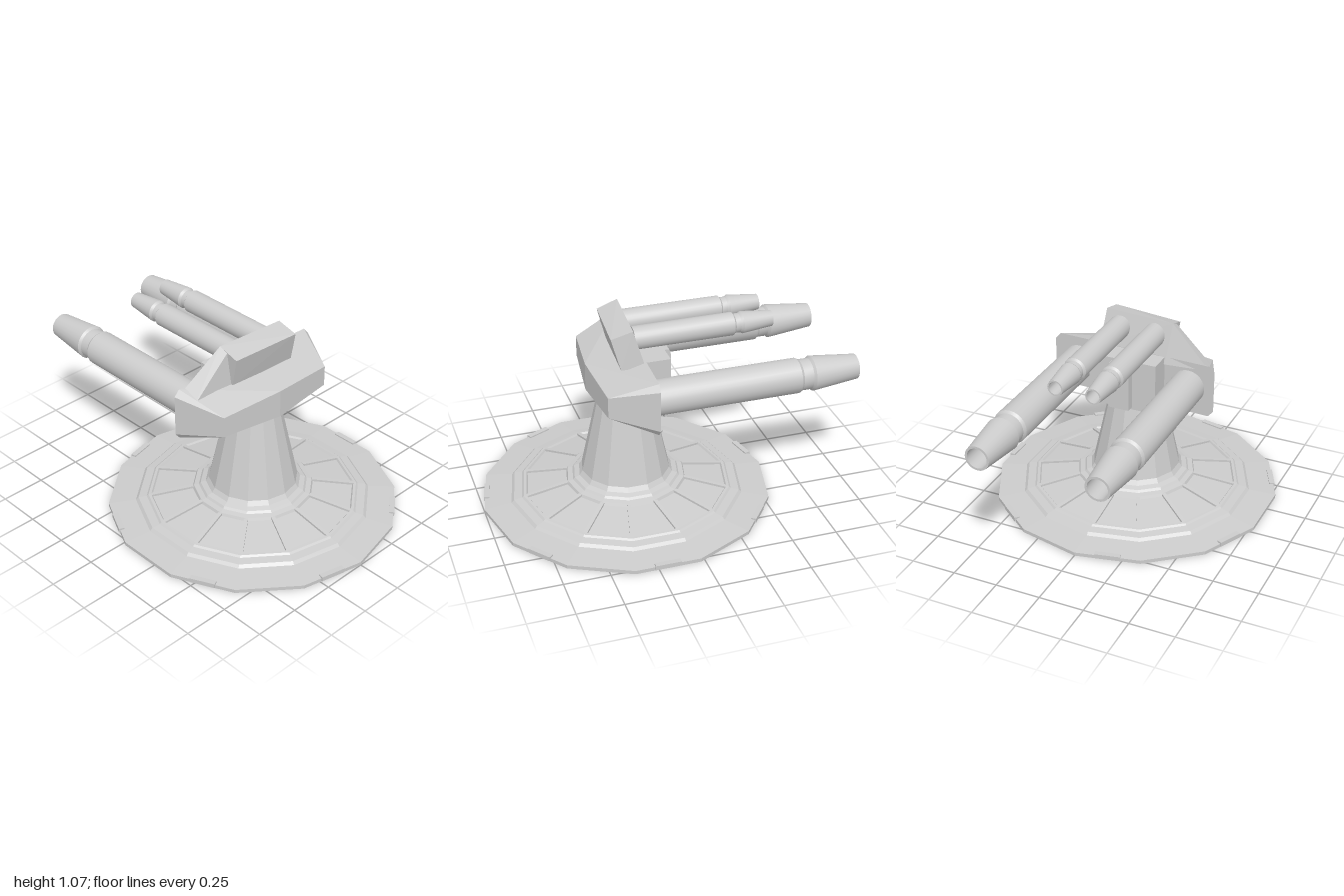
import * as THREE from 'three';
import { ConvexGeometry } from 'three/addons/geometries/ConvexGeometry.js';
import { toCreasedNormals } from 'three/addons/utils/BufferGeometryUtils.js';

const SIDES = 14;
const STEP = (Math.PI * 2) / SIDES;
const flat = new THREE.MeshStandardMaterial({ color: 0xcccccc, flatShading: true });
const shell = new THREE.MeshStandardMaterial({ color: 0xcccccc, flatShading: true, side: THREE.DoubleSide });
const smooth = new THREE.MeshStandardMaterial({ color: 0xcccccc, side: THREE.DoubleSide });

function add(parent, name, geometry, material = flat) {
  const mesh = new THREE.Mesh(geometry, material);
  mesh.name = name;
  parent.add(mesh);
  return mesh;
}
const profile = (pairs) => pairs.map(([r, y]) => new THREE.Vector2(r, y));
const hull = (points) => new ConvexGeometry(points.map((p) => new THREE.Vector3(...p)));

function box(parent, name, size, position) {
  const mesh = add(parent, name, new THREE.BoxGeometry(...size));
  mesh.position.set(...position);
  return mesh;
}

// Hollow gun barrel along -z: tube, narrow neck, tapered muzzle, bore
function barrel(parent, name, x, y, pairs) {
  const geometry = new THREE.LatheGeometry(profile(pairs), 24);
  geometry.rotateX(-Math.PI / 2);
  add(parent, name, toCreasedNormals(geometry, 0.4), smooth).position.set(x, y, 0);
}

function buildBase() {
  const base = new THREE.Group();
  base.name = 'base';
  base.position.z = 0.2;

  // Stepped foot plate, open underneath
  add(base, 'footPlate', new THREE.LatheGeometry(profile([
    [0.8, 0], [0.8, 0.02], [0.65, 0.035], [0.635, 0.05], [0.59, 0.057],
    [0.58, 0.066], [0.565, 0.068], [0.558, 0.058], [0.335, 0.097],
    [0.328, 0.112], [0.3, 0.118], [0.29, 0.13], [0.262, 0.14], [0.245, 0.165],
  ]), SIDES), shell);

  // Tapered column
  add(base, 'column', new THREE.LatheGeometry(profile([
    [0.245, 0.165], [0.148, 0.61], [0.135, 0.635], [0.11, 0.65], [0, 0.65],
  ]), SIDES), shell);

  // Ribs dividing the recessed panels
  for (let i = 0; i < SIDES; i++) {
    const arm = new THREE.Group();
    arm.name = 'ribArm';
    arm.rotation.y = i * STEP;
    box(arm, 'panelRib', [0.022, 0.012, 0.24], [0, 0.084, 0.446]).rotation.x = Math.atan(0.044 / 0.235);
    base.add(arm);
  }

  // Clamps on every second rim side
  for (let i = 0; i < 7; i++) {
    const arm = new THREE.Group();
    arm.name = 'clampArm';
    arm.rotation.y = (i * 2 - 0.5) * STEP;
    box(arm, 'rimClamp', [0.14, 0.025, 0.03], [0, 0.0175, 0.772]);
    base.add(arm);
  }
  return base;
}

function buildHead() {
  const head = new THREE.Group();
  head.name = 'head';

  // Armoured housing, tapering to the front and turned very slightly
  const points = [];
  for (const sx of [-1, 1]) {
    for (const sy of [-1, 1]) {
      points.push([sx * 0.362, sy * 0.058, 0.375]);
      points.push([sx * 0.477, sy * 0.115, 0.128]);
      points.push([sx * 0.447, sy * 0.15, 0.128]);
    }
  }
  points.push([0, 0.078, 0.41], [0, -0.078, 0.41]);
  const housing = add(head, 'housing', hull(points));
  housing.position.set(-0.005, 0.74, 0);
  housing.rotation.y = -0.03;

  // Rear machinery between the barrels
  for (const side of [-1, 1]) {
    box(head, 'rearBlock', [0.18, 0.29, 0.16], [side * 0.105, 0.742, 0.08]);
  }
  box(head, 'rearSpine', [0.05, 0.27, 0.14], [0, 0.742, 0.08]);
  add(head, 'rearPlate', hull([-1, 1].flatMap((s) => [
    [s * 0.06, 0.61, 0.02], [s * 0.06, 0.875, 0.02],
    [s * 0.06, 0.61, -0.045], [s * 0.06, 0.84, -0.045], [s * 0.06, 0.87, -0.035],
  ])));

  // Tilted upper gun mount
  add(head, 'upperMount', hull([
    [-0.215, 1.03, 0.285], [0.18, 1.04, 0.32], [-0.22, 1.07, 0.17], [0.18, 1.07, 0.2],
    [-0.2, 0.85, 0.24], [0.2, 0.865, 0.272], [-0.2, 0.85, 0.11], [0.2, 0.865, 0.14],
  ]));

  // Sloping brace on one side of the mount
  add(head, 'sideBrace', hull([
    [-0.22, 1.07, 0.17], [-0.217, 1.05, 0.22], [-0.44, 0.835, 0.215],
    [-0.455, 0.86, 0.12], [-0.2, 0.85, 0.235], [-0.2, 0.85, 0.11],
  ]));

  // Main barrels
  for (const x of [-0.335, 0.32]) {
    barrel(head, 'mainBarrel', x, 0.745, [
      [0, -0.16], [0.095, -0.16], [0.095, 0.66], [0.084, 0.675], [0.084, 0.73],
      [0.095, 0.742], [0.068, 1], [0.056, 1], [0.056, 0.8], [0, 0.8],
    ]);
  }

  // Upper barrels
  for (const x of [-0.118, 0.092]) {
    barrel(head, 'upperBarrel', x, 0.988, [
      [0, -0.18], [0.063, -0.18], [0.063, 0.372], [0.052, 0.382], [0.052, 0.41],
      [0.06, 0.425], [0.043, 0.595], [0.035, 0.595], [0.035, 0.46], [0, 0.46],
    ]);
  }
  return head;
}

export function createModel() {
  const model = new THREE.Group();
  model.name = 'gunTurret';
  model.add(buildBase(), buildHead());
  return model;
}
